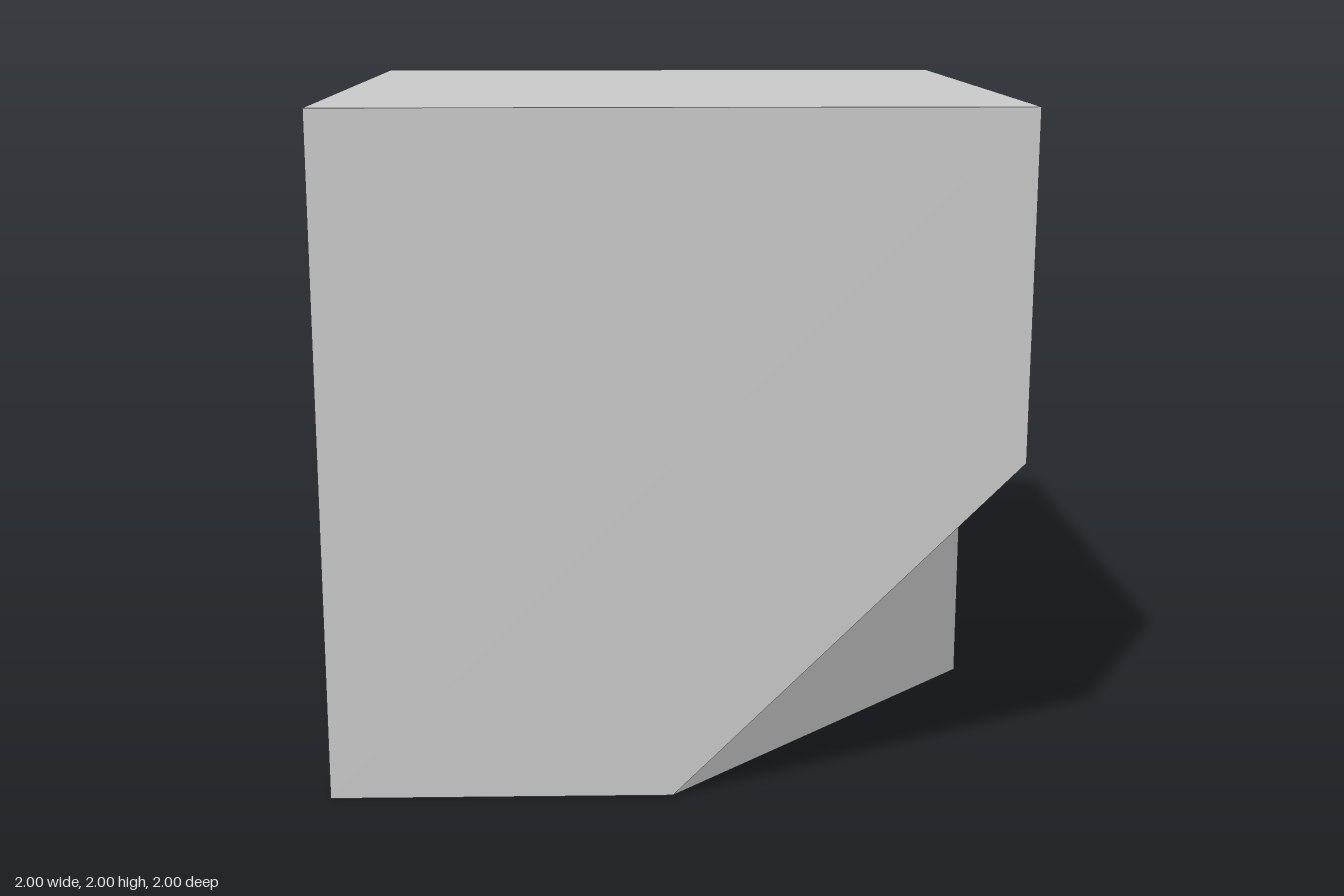
import * as THREE from 'three';

// Named corners: the block, then the notch cut from its front lower corner
const P = {
  a: [-1, 0, 1], c: [1, 0, -1], d: [-1, 0, -1],
  e: [-1, 2, 1], f: [1, 2, 1], g: [1, 2, -1], h: [-1, 2, -1],
  n: [0, 0, 1], q: [1, 1, 1], r: [1, 1, 0], s: [1, 0, 0],
};

// Flat faces from corner loops, each split as a fan around its first corner
function facesMesh(name, loops, material) {
  const positions = [];
  for (const loop of loops) {
    for (let i = 1; i < loop.length - 1; i++) {
      positions.push(...P[loop[0]], ...P[loop[i]], ...P[loop[i + 1]]);
    }
  }
  const geometry = new THREE.BufferGeometry();
  geometry.setAttribute('position', new THREE.Float32BufferAttribute(positions, 3));
  geometry.computeVertexNormals();
  const mesh = new THREE.Mesh(geometry, material);
  mesh.name = name;
  return mesh;
}

export function createModel() {
  const group = new THREE.Group();
  group.name = 'notchedCube';
  const material = new THREE.MeshStandardMaterial({ color: 0xcccccc, flatShading: true });

  // Outer walls: front, left-hand L-shape, back, far side, top, bottom
  group.add(facesMesh('cubeBody', ['anqfe', 'rscgfq', 'cdhg', 'daeh', 'efgh', 'dcsna'], material));

  // Notch: sloping overhang and upright diagonal wall
  group.add(facesMesh('cornerNotch', ['nrq', 'nsr'], material));
  return group;
}
